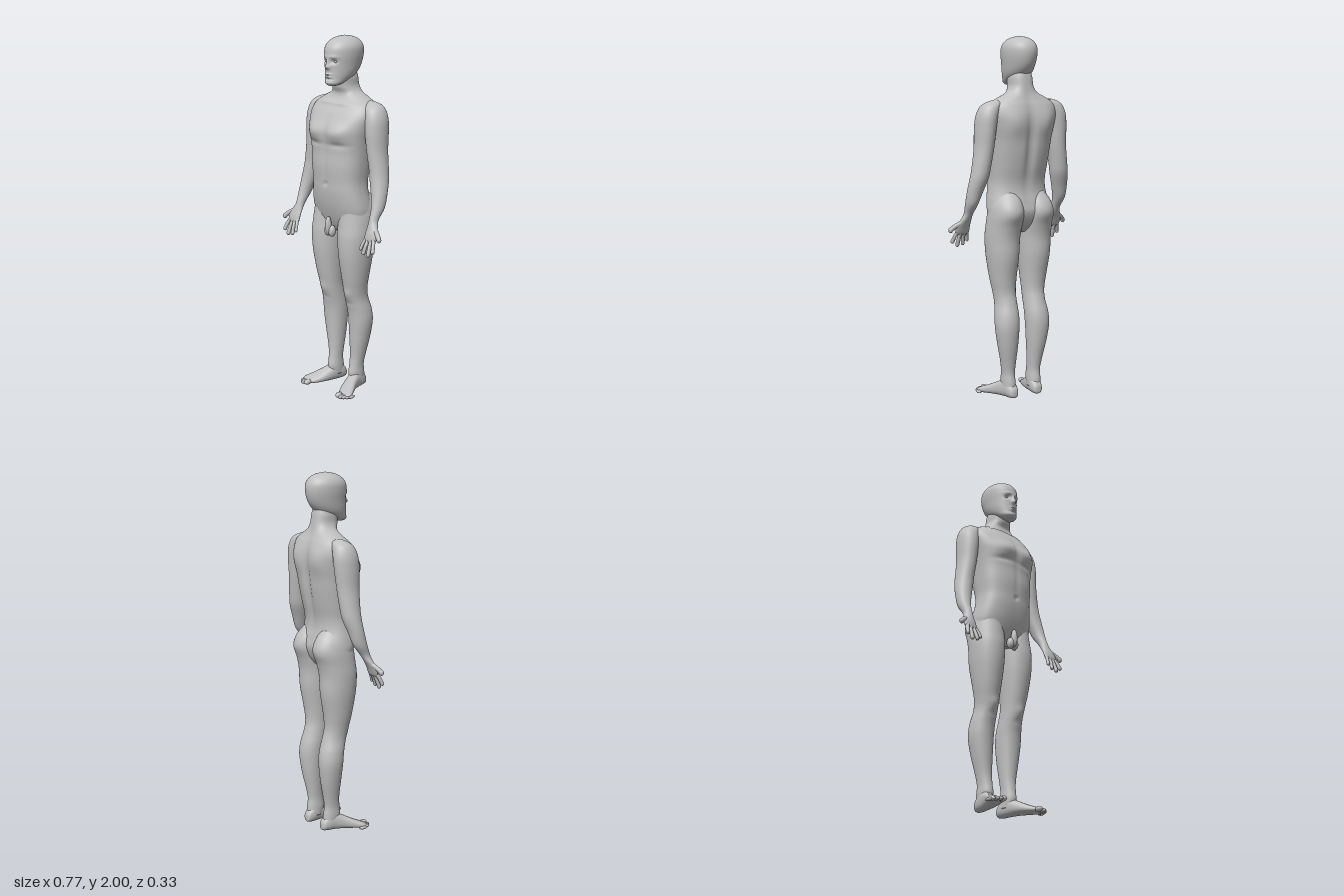
import * as THREE from 'three';

const skin = new THREE.MeshStandardMaterial({ color: 0xc0c0c0 });
skin.name = 'plainGrey';

// Smooth interpolation between cross-section rows
function refine(rows, steps) {
  const out = [];
  for (let i = 0; i < rows.length - 1; i++) {
    const a = rows[Math.max(i - 1, 0)], b = rows[i], c = rows[i + 1], d = rows[Math.min(i + 2, rows.length - 1)];
    for (let s = 0; s < steps; s++) {
      const t = s / steps;
      out.push(b.map((_, k) => 0.5 * (2 * b[k] + (c[k] - a[k]) * t
        + (2 * a[k] - 5 * b[k] + 4 * c[k] - d[k]) * t * t
        + (3 * b[k] - a[k] - 3 * c[k] + d[k]) * t * t * t)));
    }
  }
  out.push(rows[rows.length - 1]);
  return out;
}

// Row: [position along axis, centre x, half width, high side, low side].
// Axis 'y' stacks x-z rings upward; axis 'z' stacks x-y rings forward.
// Bumps: [x, y, z, radiusX, radiusY, radiusZ, pushX, pushY, pushZ]
function loft(rows, { axis = 'y', sides = 48, steps = 6, power = 1, bumps = [] } = {}) {
  const rings = refine(rows, steps), pos = [], index = [];
  const put = (x, v, t) => {
    const p = axis === 'y' ? [x, t, v] : [x, v, t], q = [...p];
    for (const b of bumps) {
      const d = ((p[0] - b[0]) / b[3]) ** 2 + ((p[1] - b[1]) / b[4]) ** 2 + ((p[2] - b[2]) / b[5]) ** 2;
      const w = Math.exp(-d);
      for (let k = 0; k < 3; k++) q[k] += b[6 + k] * w;
    }
    pos.push(...q);
  };
  const curve = (v) => Math.sign(v) * Math.abs(v) ** power;
  for (const [t, cx, hw, hi, lo] of rings) {
    for (let j = 0; j < sides; j++) {
      const a = (j / sides) * Math.PI * 2;
      put(cx + hw * curve(Math.cos(a)), (hi + lo) / 2 + ((hi - lo) / 2) * curve(Math.sin(a)), t);
    }
  }
  const tri = (a, b, c) => (axis === 'y' ? index.push(a, b, c) : index.push(a, c, b));
  const n = rings.length;
  for (let i = 0; i < n - 1; i++) {
    for (let j = 0; j < sides; j++) {
      const k = (j + 1) % sides, r = i * sides, u = r + sides;
      tri(r + j, u + j, r + k);
      tri(r + k, u + j, u + k);
    }
  }
  // Closed ends
  for (const [ring, end] of [[0, false], [n - 1, true]]) {
    const [t, cx, , hi, lo] = rings[ring], mid = pos.length / 3;
    put(cx, (hi + lo) / 2, t);
    for (let j = 0; j < sides; j++) {
      const a = ring * sides + j, b = ring * sides + ((j + 1) % sides);
      if (end) tri(a, mid, b); else tri(a, b, mid);
    }
  }
  const g = new THREE.BufferGeometry();
  g.setAttribute('position', new THREE.Float32BufferAttribute(pos, 3));
  g.setIndex(index);
  g.computeVertexNormals();
  return g;
}

function mirrored(geometry) {
  const g = geometry.clone().scale(-1, 1, 1), a = g.index.array;
  for (let i = 0; i < a.length; i += 3) [a[i], a[i + 1]] = [a[i + 1], a[i]];
  return g;
}

const ellipsoid = (x, y, z, rx, ry, rz) => new THREE.SphereGeometry(1, 24, 16).scale(rx, ry, rz).translate(x, y, z);

// A bump and its twin on the other side
const both = (x, ...rest) => [[x, ...rest], [-x, ...rest]];

export function createModel() {
  const model = new THREE.Group();
  model.name = 'standingFigure';
  const add = (name, geometry) => {
    const mesh = new THREE.Mesh(geometry, skin);
    mesh.name = name;
    model.add(mesh);
  };
  const addPair = (name, geometry) => {
    add(name + 'Left', geometry);
    add(name + 'Right', mirrored(geometry));
  };

  // Torso and neck, with chest, spine and shoulder-blade relief
  add('torso', loft([
    [0.93, 0, 0.05, 0.04, -0.06], [0.96, 0, 0.12, 0.06, -0.09], [1.0, 0, 0.172, 0.078, -0.115],
    [1.05, 0, 0.184, 0.095, -0.13], [1.1, 0, 0.18, 0.108, -0.122], [1.16, 0, 0.17, 0.118, -0.11],
    [1.22, 0, 0.165, 0.122, -0.112], [1.3, 0, 0.172, 0.128, -0.13], [1.38, 0, 0.18, 0.125, -0.145],
    [1.45, 0, 0.19, 0.128, -0.152], [1.52, 0, 0.205, 0.122, -0.157], [1.58, 0, 0.215, 0.095, -0.153],
    [1.63, 0, 0.2, 0.06, -0.14], [1.665, 0, 0.15, 0.03, -0.125], [1.695, 0, 0.09, 0.022, -0.115],
    [1.73, 0, 0.066, 0.035, -0.108], [1.78, 0, 0.062, 0.04, -0.1], [1.82, 0, 0.05, 0.03, -0.09],
  ], {
    sides: 96, steps: 8, power: 0.82, bumps: [
      ...both(0.085, 1.49, 0.12, 0.07, 0.045, 0.08, 0, 0, 0.022),
      ...both(0.09, 1.425, 0.12, 0.06, 0.014, 0.08, 0, 0, -0.008),
      [0, 1.5, 0.13, 0.013, 0.09, 0.06, 0, 0, -0.008],
      [0, 1.3, 0.13, 0.012, 0.09, 0.05, 0, 0, -0.005],
      [0, 1.205, 0.12, 0.01, 0.012, 0.04, 0, 0, -0.01],
      ...both(0.1, 1.54, -0.14, 0.06, 0.08, 0.07, 0, 0, -0.016),
      [0, 1.4, -0.15, 0.025, 0.22, 0.07, 0, 0, 0.018],
      ...both(0.06, 1.64, 0.05, 0.06, 0.008, 0.05, 0, 0.003, 0.006),
    ],
  }));

  // Head with sculpted brow, nose, mouth and chin
  add('head', loft([
    [1.737, 0, 0.025, 0.088, 0.04], [1.75, 0, 0.048, 0.1, 0.0], [1.78, 0, 0.066, 0.098, -0.07],
    [1.81, 0, 0.076, 0.097, -0.105], [1.85, 0, 0.083, 0.098, -0.13], [1.9, 0, 0.09, 0.099, -0.143],
    [1.94, 0, 0.089, 0.092, -0.14], [1.97, 0, 0.073, 0.068, -0.12], [1.99, 0, 0.044, 0.03, -0.085],
    [2.0, 0, 0.004, -0.022, -0.03],
  ], {
    sides: 128, steps: 12, bumps: [
      [0, 1.838, 0.1, 0.014, 0.012, 0.04, 0, 0, 0.019],
      [0, 1.86, 0.1, 0.009, 0.02, 0.04, 0, 0, 0.011],
      ...both(0.033, 1.868, 0.09, 0.018, 0.012, 0.04, 0, 0, -0.013),
      ...both(0.03, 1.892, 0.09, 0.025, 0.008, 0.04, 0, 0, 0.004),
      [0, 1.799, 0.1, 0.022, 0.005, 0.04, 0, 0, 0.007],
      [0, 1.785, 0.1, 0.019, 0.005, 0.04, 0, 0, 0.006],
      [0, 1.772, 0.1, 0.025, 0.006, 0.04, 0, 0, -0.005],
      [0, 1.754, 0.1, 0.025, 0.012, 0.04, 0, 0, 0.004],
    ],
  }));
  addPair('eye', ellipsoid(0.033, 1.867, 0.071, 0.013, 0.008, 0.01));

  // Arm running from palm to shoulder
  addPair('arm', loft([
    [0.925, 0.302, 0.034, 0.09, 0.073], [0.94, 0.304, 0.042, 0.093, 0.065], [0.97, 0.305, 0.043, 0.088, 0.052],
    [1.0, 0.298, 0.034, 0.078, 0.035], [1.04, 0.29, 0.025, 0.065, 0.01], [1.1, 0.288, 0.034, 0.045, -0.035],
    [1.17, 0.277, 0.044, 0.03, -0.06], [1.24, 0.262, 0.05, 0.022, -0.085], [1.3, 0.252, 0.05, 0.02, -0.095],
    [1.4, 0.237, 0.051, 0.025, -0.105], [1.5, 0.23, 0.055, 0.03, -0.115], [1.57, 0.222, 0.057, 0.025, -0.118],
    [1.62, 0.205, 0.055, 0.01, -0.11], [1.645, 0.185, 0.045, -0.015, -0.095], [1.658, 0.175, 0.015, -0.045, -0.07],
  ]));

  // Fingers and thumb, each a bent tube with a rounded tip
  const digits = [
    ['thumb', 0.013, [0.325, 0.99, 0.06], [0.355, 0.97, 0.075], [0.374, 0.952, 0.085]],
    ['indexFinger', 0.0105, [0.33, 0.945, 0.08], [0.342, 0.915, 0.095], [0.35, 0.885, 0.108]],
    ['middleFinger', 0.011, [0.312, 0.94, 0.08], [0.316, 0.9, 0.097], [0.319, 0.864, 0.11]],
    ['ringFinger', 0.0105, [0.292, 0.94, 0.08], [0.288, 0.905, 0.098], [0.284, 0.87, 0.11]],
    ['littleFinger', 0.009, [0.274, 0.945, 0.08], [0.265, 0.915, 0.095], [0.259, 0.888, 0.106]],
  ];
  for (const [name, r, ...path] of digits) {
    const points = path.map((p) => new THREE.Vector3(...p));
    addPair(name, new THREE.TubeGeometry(new THREE.CatmullRomCurve3(points), 12, r, 12));
    addPair(name + 'Tip', ellipsoid(...path[2], r, r * 1.2, r));
  }

  // Leg from ankle to buttock, with a kneecap
  addPair('leg', loft([
    [0.04, 0.083, 0.034, 0.0, -0.095], [0.09, 0.084, 0.036, 0.012, -0.092], [0.14, 0.085, 0.035, 0.005, -0.086],
    [0.2, 0.088, 0.041, 0.0, -0.095], [0.3, 0.095, 0.055, 0.005, -0.115], [0.4, 0.1, 0.066, 0.012, -0.126],
    [0.47, 0.098, 0.066, 0.02, -0.12], [0.54, 0.094, 0.06, 0.038, -0.1], [0.6, 0.096, 0.062, 0.052, -0.088],
    [0.68, 0.1, 0.072, 0.07, -0.095], [0.8, 0.103, 0.086, 0.09, -0.115], [0.9, 0.103, 0.092, 0.095, -0.12],
    [0.97, 0.1, 0.093, 0.088, -0.135], [1.04, 0.098, 0.09, 0.08, -0.16], [1.1, 0.095, 0.08, 0.075, -0.143],
    [1.16, 0.085, 0.055, 0.05, -0.095],
  ], {
    power: 0.95, bumps: [
      [0.095, 0.575, 0.05, 0.03, 0.03, 0.04, 0, 0, 0.008],
      [0.095, 0.52, 0.035, 0.03, 0.012, 0.04, 0, 0, -0.004],
    ],
  }));

  // Foot from heel to ball, turned slightly outward
  addPair('foot', loft([
    [-0.108, 0.08, 0.01, 0.04, 0.015], [-0.1, 0.08, 0.025, 0.06, 0.004], [-0.07, 0.082, 0.034, 0.09, 0],
    [-0.03, 0.088, 0.036, 0.1, 0], [0.02, 0.102, 0.041, 0.078, 0], [0.07, 0.125, 0.048, 0.053, 0],
    [0.11, 0.145, 0.047, 0.036, 0], [0.135, 0.149, 0.033, 0.025, 0.005],
  ], { axis: 'z', power: 0.85 }));
  const toes = [[0.13, 0.142, 0.017], [0.153, 0.144, 0.012], [0.169, 0.134, 0.0115], [0.182, 0.12, 0.011], [0.19, 0.104, 0.01]];
  toes.forEach(([x, z, r], i) => addPair('toe' + (i + 1), ellipsoid(x, r * 0.9, z, r, r * 0.9, 0.025)));

  // Simple anatomical form at the groin
  add('groinFront', ellipsoid(0, 0.965, 0.098, 0.017, 0.052, 0.019));
  addPair('groinSide', ellipsoid(0.015, 0.935, 0.085, 0.021, 0.033, 0.022));

  return model;
}
